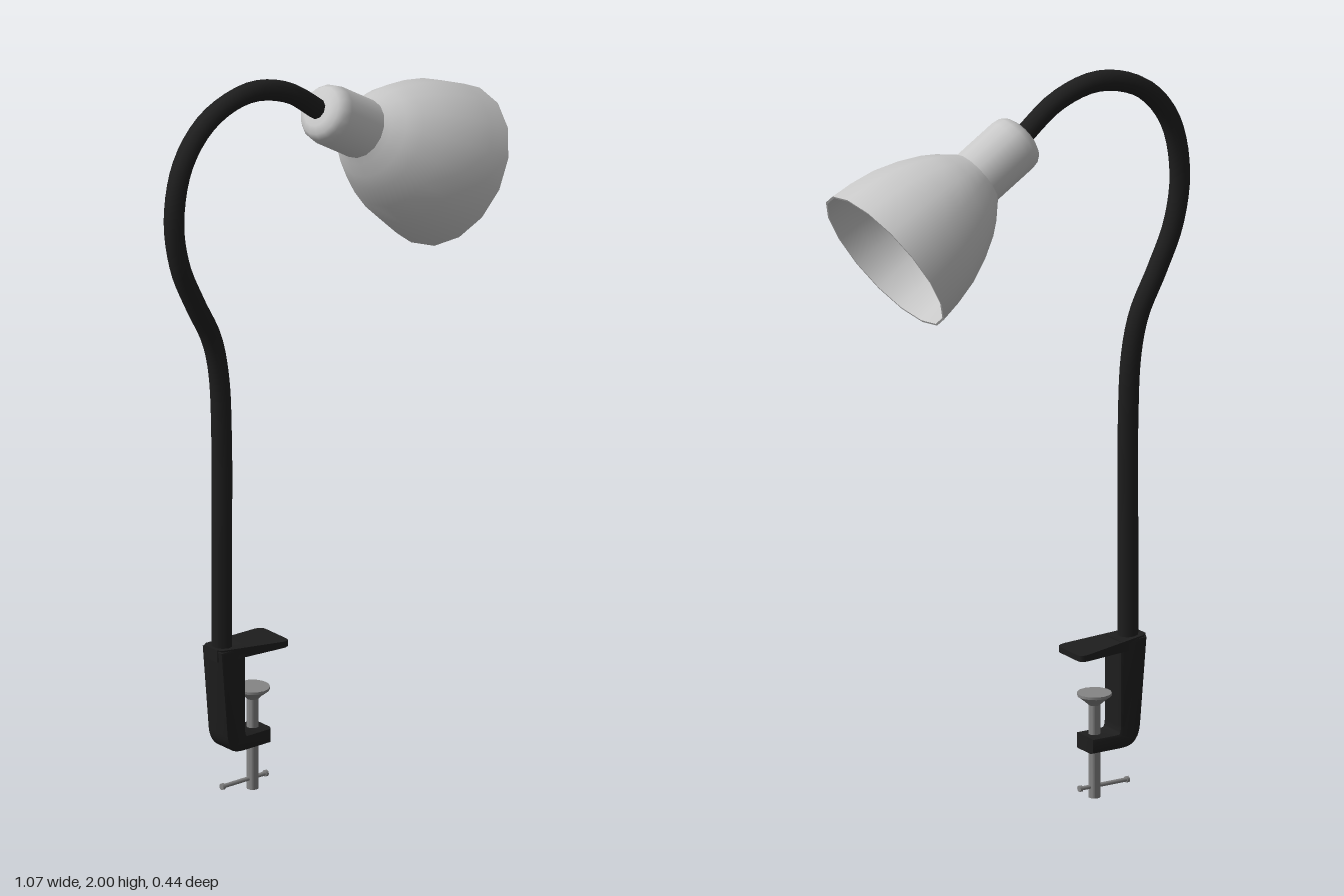
import * as THREE from 'three';
import { toCreasedNormals } from 'three/addons/utils/BufferGeometryUtils.js';

const v2 = (pts) => pts.map(([x, y]) => new THREE.Vector2(x, y));

export function createModel() {
  const model = new THREE.Group();
  const material = (name, color, side = THREE.FrontSide) => {
    const m = new THREE.MeshStandardMaterial({ color, side });
    m.name = name;
    return m;
  };
  const black = material('black', 0x1e1e1e);
  const lampGrey = material('lampGrey', 0xc8c8c8, THREE.DoubleSide);
  const steel = material('steel', 0x858585);

  const add = (parent, name, geometry, mat) => {
    const mesh = new THREE.Mesh(geometry, mat);
    mesh.name = name;
    parent.add(mesh);
    return mesh;
  };

  // Gooseneck: straight post, then a hook over to the lamp head
  const path = new THREE.CatmullRomCurve3([
    [-0.35, 0.42], [-0.35, 0.72], [-0.35, 1.0], [-0.36, 1.2], [-0.385, 1.31],
    [-0.44, 1.42], [-0.492, 1.54], [-0.512, 1.68], [-0.48, 1.83], [-0.395, 1.93],
    [-0.26, 1.973], [-0.13, 1.942], [-0.01, 1.855],
  ].map(([x, y]) => new THREE.Vector3(x, y, 0)));
  add(model, 'gooseneck', new THREE.TubeGeometry(path, 64, 0.028, 10), black);

  // Lamp head: lathed about +y, then tilted so the opening faces right and down
  const head = new THREE.Group();
  head.name = 'lampHead';
  head.position.set(0.41, 1.595, 0);
  head.rotation.z = -2.126;
  model.add(head);
  const socket = new THREE.LatheGeometry(v2([
    [0, -0.515], [0.045, -0.513], [0.066, -0.503], [0.077, -0.487], [0.081, -0.465], [0.081, -0.32],
  ]), 16);
  add(head, 'socket', socket, lampGrey);
  const bell = [
    [0.08, -0.338], [0.094, -0.322], [0.12, -0.293], [0.145, -0.257],
    [0.174, -0.2], [0.2, -0.131], [0.215, -0.06], [0.222, 0],
  ];
  add(head, 'shade', new THREE.LatheGeometry(v2(bell), 16), lampGrey);
  const lining = bell.map(([r, y]) => [r - 0.006, y]).reverse();
  add(head, 'shadeLining', new THREE.LatheGeometry(v2(lining), 16), lampGrey);
  add(head, 'shadeRim', new THREE.LatheGeometry(v2([[0.222, 0], [0.216, 0]]), 16), lampGrey);

  // Clamp bracket: upright with a rounded heel and a short foot
  const clamp = new THREE.Group();
  clamp.name = 'clamp';
  model.add(clamp);
  const b = 0.01;
  const arm = new THREE.Shape();
  arm.moveTo(-0.385 + b, 0.42);
  arm.lineTo(-0.365 + b, 0.19);
  arm.quadraticCurveTo(-0.36 + b, 0.132 + b, -0.31, 0.132 + b);
  arm.lineTo(-0.213 - b, 0.132 + b);
  arm.lineTo(-0.213 - b, 0.175 - b);
  arm.lineTo(-0.285 - b, 0.175 - b);
  arm.quadraticCurveTo(-0.3 - b, 0.175 - b, -0.3 - b, 0.195);
  arm.lineTo(-0.3 - b, 0.42);
  const armGeo = new THREE.ExtrudeGeometry(arm, {
    depth: 0.064, bevelEnabled: true, bevelSize: b, bevelThickness: b, bevelSegments: 2, curveSegments: 6,
  });
  armGeo.translate(0, 0, -0.032);
  add(clamp, 'bracket', toCreasedNormals(armGeo, 0.7), black);

  // Top jaw: flared plate that gets thinner towards its tip
  const jaw = new THREE.Shape();
  jaw.moveTo(-0.388, -0.026);
  jaw.lineTo(-0.375, -0.036);
  jaw.lineTo(-0.19, -0.059);
  jaw.quadraticCurveTo(-0.165, -0.06, -0.165, -0.042);
  jaw.lineTo(-0.165, 0.042);
  jaw.quadraticCurveTo(-0.165, 0.06, -0.19, 0.059);
  jaw.lineTo(-0.375, 0.036);
  jaw.lineTo(-0.388, 0.026);
  const jawGeo = new THREE.ExtrudeGeometry(jaw, { depth: 0.034, bevelEnabled: false, curveSegments: 5 });
  jawGeo.rotateX(-Math.PI / 2);
  jawGeo.translate(0, 0.4, 0);
  const pos = jawGeo.attributes.position;
  for (let i = 0; i < pos.count; i++) {
    if (pos.getY(i) > 0.42) {
      const t = Math.max(0, (pos.getX(i) + 0.388) / 0.223);
      pos.setY(i, 0.434 - 0.018 * t);
    }
  }
  add(clamp, 'topJaw', toCreasedNormals(jawGeo, 0.7), black);

  // Clamping screw with a flared pad and a sliding cross handle
  const screwGeo = new THREE.LatheGeometry(v2([
    [0, 0], [0.016, 0], [0.016, 0.255], [0.026, 0.265], [0.046, 0.281], [0.046, 0.288], [0, 0.288],
  ]), 14);
  add(clamp, 'screw', toCreasedNormals(screwGeo, 0.6), steel).position.x = -0.245;
  const handle = add(clamp, 'screwHandle', new THREE.CylinderGeometry(0.006, 0.006, 0.146, 8), steel);
  handle.position.set(-0.274, 0.03, 0);
  handle.rotation.z = Math.PI / 2;
  for (const x of [-0.347, -0.201]) {
    const knob = add(clamp, 'handleEnd', new THREE.CylinderGeometry(0.009, 0.009, 0.008, 8), steel);
    knob.position.set(x, 0.03, 0);
    knob.rotation.z = Math.PI / 2;
  }

  return model;
}
